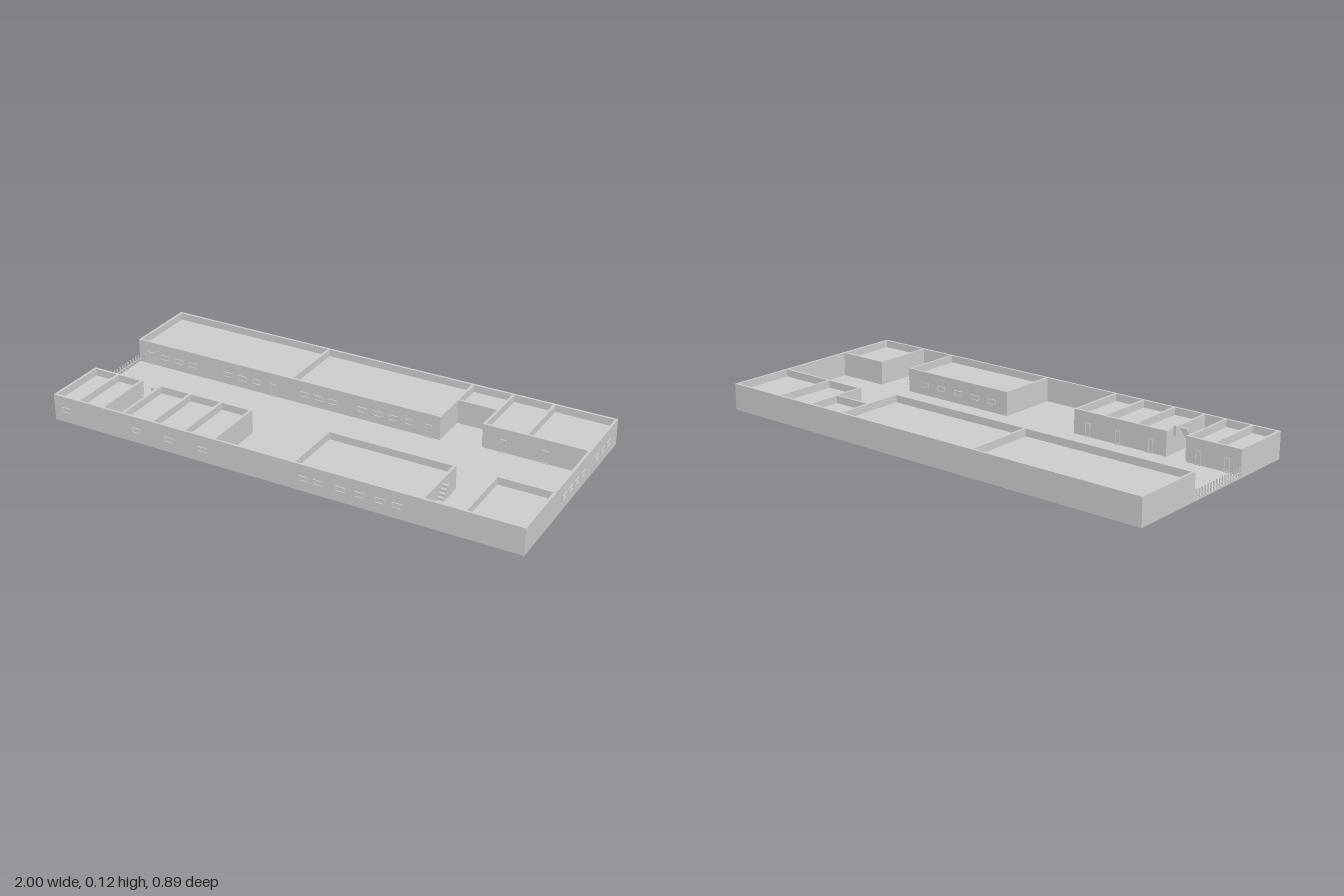
import * as THREE from 'three';

const FLOOR = 0.01, TOP = 0.11, ROOF = 0.08, T = 0.01;
const X0 = -1, X1 = 0.995, Z0 = -0.445, Z1 = 0.44;
const grey = new THREE.MeshStandardMaterial({ color: 0xcccccc, flatShading: true });

function add(parent, name, geometry, x = 0, y = 0, z = 0) {
  const mesh = new THREE.Mesh(geometry, grey);
  mesh.name = name;
  mesh.position.set(x, y, z);
  parent.add(mesh);
  return mesh;
}

// axis-aligned box given by its limits
function block(parent, name, x0, x1, y0, y1, z0, z1) {
  return add(parent, name, new THREE.BoxGeometry(x1 - x0, y1 - y0, z1 - z0),
    (x0 + x1) / 2, (y0 + y1) / 2, (z0 + z1) / 2);
}

const rect = (Kind, x0, x1, y0, y1) => new Kind([
  new THREE.Vector2(x0, y0), new THREE.Vector2(x1, y0),
  new THREE.Vector2(x1, y1), new THREE.Vector2(x0, y1)]);

// four walls with a sunken flat roof
function room(parent, [x0, x1, z0, z1]) {
  const g = new THREE.Group();
  g.name = 'room';
  const plan = rect(THREE.Shape, x0, x1, -z1, -z0);
  plan.holes.push(rect(THREE.Path, x0 + T, x1 - T, -z1 + T, -z0 - T));
  const walls = new THREE.ExtrudeGeometry(plan, { depth: TOP - FLOOR, bevelEnabled: false });
  add(g, 'roomWalls', walls.rotateX(-Math.PI / 2), 0, FLOOR, 0);
  block(g, 'roof', x0 + T, x1 - T, ROOF - 0.008, ROOF, z0 + T, z1 - T);
  parent.add(g);
}

// raised rectangular frame facing the given turn about y
function frame(parent, name, w, h, x, y, z, turn = 0) {
  const s = rect(THREE.Shape, -w / 2, w / 2, 0, h), b = 0.003;
  s.holes.push(rect(THREE.Path, -w / 2 + b, w / 2 - b, b, h - b));
  const m = add(parent, name, new THREE.ExtrudeGeometry(s, { depth: 0.004, bevelEnabled: false }), x, y, z);
  m.rotation.y = turn;
}

// stepped flight climbing towards -z
function stairs(parent, x0, x1, zLow, zHigh, height) {
  const g = new THREE.Group();
  g.name = 'stairs';
  const n = 8, d = (zLow - zHigh) / n;
  for (let i = 0; i < n; i++) {
    const y = FLOOR + height * (i + 1) / n;
    block(g, 'step', x0, x1, y - 0.012, y, zLow - (i + 1) * d, zLow - i * d);
  }
  parent.add(g);
}

export function createModel() {
  const model = new THREE.Group();
  model.name = 'walledCompound';

  // ground slab and boundary walls, open on the -x side
  block(model, 'groundSlab', X0, X1, 0, FLOOR, Z0, Z1);
  block(model, 'frontWall', X0, X1, FLOOR, TOP, Z1 - T, Z1);
  block(model, 'backWall', X0, X1, FLOOR, TOP, Z0, Z0 + T);
  block(model, 'sideWall', X1 - T, X1, FLOOR, TOP, Z0, Z1);

  // rooms: neighbours share one wall
  const h = T / 2;
  [
    [X0, -0.26 + h, Z0, -0.13], [-0.26 - h, 0.395 + h, Z0, -0.13],
    [0.395 - h, 0.568 + h, Z0, -0.288], [0.568 - h, 0.74 + h, Z0, -0.16],
    [0.74 - h, X1, Z0, -0.16],
    [X0, -0.883 + h, 0.17, Z1], [-0.883 - h, -0.765, 0.17, Z1],
    [-0.68, -0.537 + h, 0.17, Z1], [-0.537 - h, -0.393 + h, 0.17, Z1],
    [-0.393 - h, -0.255, 0.17, Z1],
    [0.08, 0.61, 0.17, Z1], [0.763, X1, 0.165, Z1],
  ].forEach(r => room(model, r));

  // windows on the outer front
  [-0.94, -0.61, -0.46, -0.31, 0.13, 0.19, 0.28, 0.36, 0.44, 0.51]
    .forEach(x => frame(model, 'frontWindow', 0.042, 0.022, x, 0.042, Z1));
  // windows and doors of the long back building
  [-0.87, -0.8, -0.73, -0.56, -0.49, -0.42, -0.2, -0.13, -0.07, 0.06, 0.13, 0.2, 0.27]
    .forEach(x => frame(model, 'courtWindow', 0.042, 0.022, x, 0.042, -0.13));
  [-0.94, -0.34, 0.35].forEach(x => frame(model, 'courtDoor', 0.026, 0.055, x, FLOOR, -0.13));
  [0.65, 0.82].forEach(x => frame(model, 'courtDoor', 0.026, 0.055, x, FLOOR, -0.16));
  // doors and windows on the courtyard side of the front rooms
  [-0.94, -0.82, -0.61, -0.46, -0.32]
    .forEach(x => frame(model, 'courtDoor', 0.024, 0.055, x, FLOOR, 0.17, Math.PI));
  [0.16, 0.25, 0.34, 0.43, 0.52]
    .forEach(x => frame(model, 'courtWindow', 0.042, 0.022, x, 0.042, 0.17, Math.PI));
  // windows in the side wall
  [0.09, 0.03, -0.03, -0.09, -0.23, -0.29, -0.35]
    .forEach(z => frame(model, 'sideWindow', 0.042, 0.02, X1, 0.042, z, Math.PI / 2));

  // stairs to the roofs
  stairs(model, -0.708, -0.68, 0.34, 0.262, 0.09);
  stairs(model, 0.615, 0.637, 0.385, 0.29, 0.09);
  block(model, 'roofPost', -0.69, -0.68, ROOF, 0.12, 0.215, 0.223);

  // picket fence across the entrance
  const fence = new THREE.Group();
  fence.name = 'entranceFence';
  for (let i = 0; i < 16; i++) {
    const z = -0.118 + i * 0.0185;
    block(fence, 'picket', X0, X0 + 0.004, FLOOR, 0.042, z, z + 0.005);
  }
  block(fence, 'rail', X0, X0 + 0.004, 0.02, 0.024, -0.13, 0.17);
  model.add(fence);
  return model;
}
